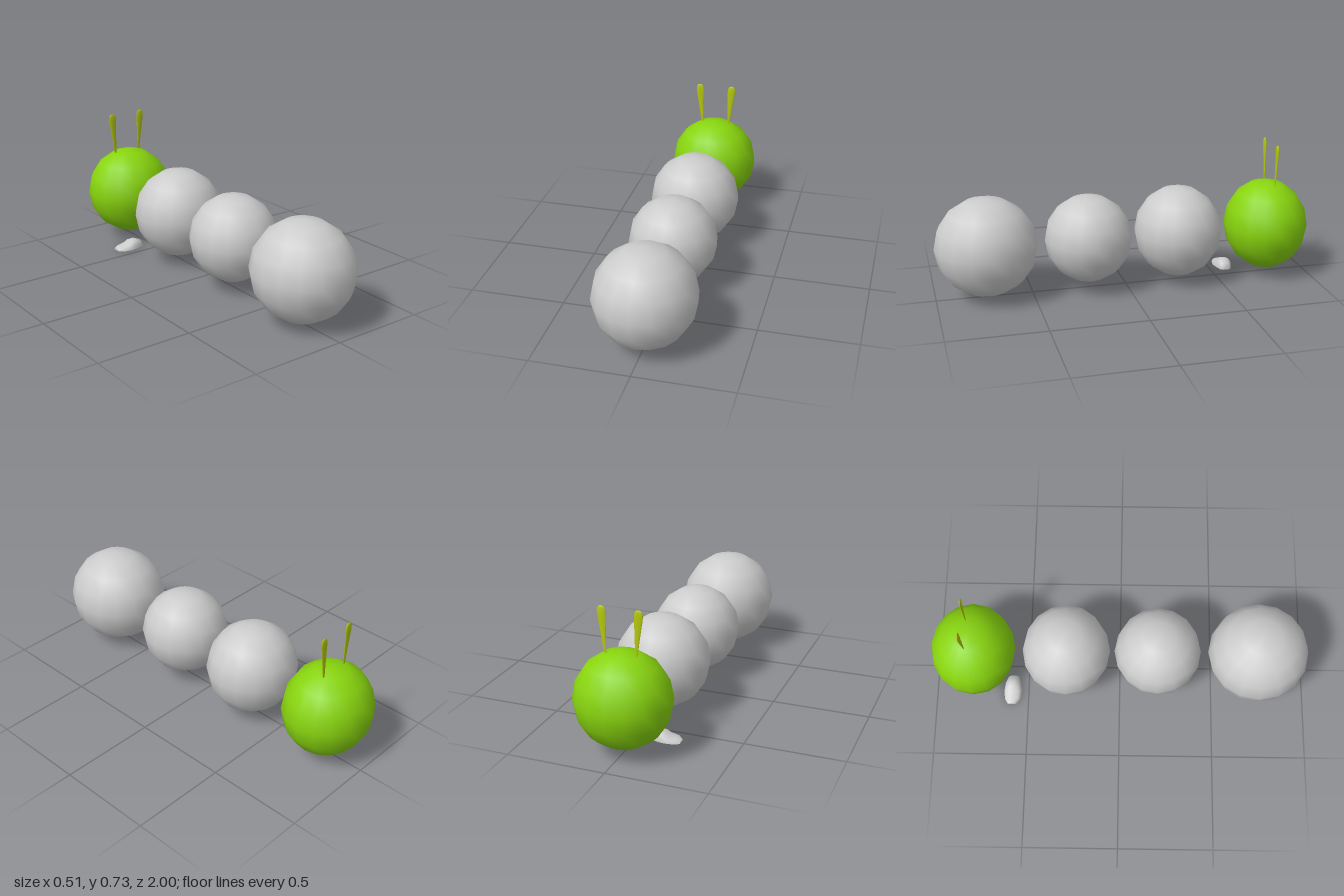
import * as THREE from 'three';
import { toCreasedNormals } from 'three/addons/utils/BufferGeometryUtils.js';

const grey = new THREE.MeshStandardMaterial({ color: 0xcccccc });
const green = new THREE.MeshStandardMaterial({ color: 0x88d40e });
const yellowGreen = new THREE.MeshStandardMaterial({ color: 0xb5c810 });

function ball(name, material, z, rx, ry, rz) {
  const mesh = new THREE.Mesh(new THREE.SphereGeometry(1, 16, 8), material);
  mesh.name = name;
  mesh.scale.set(rx, ry, rz);
  mesh.position.set(0, 0.276, z);
  return mesh;
}

// Flattened club shape, thin at the root and rounded at the tip
function antenna(name, side) {
  const profile = [
    [0, 0], [0.006, 0], [0.011, 0.07], [0.017, 0.14], [0.0215, 0.185],
    [0.0215, 0.205], [0.018, 0.219], [0.01, 0.228], [0, 0.23],
  ].map(([r, y]) => new THREE.Vector2(r, y));
  const mesh = new THREE.Mesh(new THREE.LatheGeometry(profile, 16), yellowGreen);
  mesh.name = name;
  mesh.scale.z = 0.25;
  mesh.position.set(side * 0.077, 0.499, -0.795);
  mesh.rotation.z = -side * 0.07;
  return mesh;
}

// Shoe lofted along x from domed sections: [x, height, half width, centre z]
function foot() {
  const sections = [
    [-0.217, 0.005, 0.001, -0.592], [-0.217, 0.01, 0.022, -0.592],
    [-0.19, 0.022, 0.042, -0.588], [-0.15, 0.029, 0.048, -0.587],
    [-0.128, 0.046, 0.047, -0.587], [-0.1, 0.048, 0.042, -0.587],
    [-0.065, 0.034, 0.03, -0.585], [-0.054, 0.004, 0.015, -0.583],
    [-0.054, 0.001, 0.001, -0.583],
  ];
  const n = 9, positions = [], index = [];
  sections.forEach(([x, h, w, zc], i) => {
    for (let j = 0; j < n; j++) {
      const a = (Math.PI * j) / (n - 1);
      positions.push(x, h * Math.max(0, Math.sin(a)) ** 0.7, zc + w * Math.cos(a));
      if (i === sections.length - 1) continue;
      const k = (j + 1) % n;
      const p = i * n + j, q = i * n + k;
      index.push(p, p + n, q, q, p + n, q + n);
    }
  });
  const geometry = new THREE.BufferGeometry();
  geometry.setAttribute('position', new THREE.Float32BufferAttribute(positions, 3));
  geometry.setIndex(index);
  const mesh = new THREE.Mesh(toCreasedNormals(geometry, 0.9), grey);
  mesh.name = 'foot';
  return mesh;
}

export function createModel() {
  const model = new THREE.Group();
  model.name = 'caterpillar';
  model.add(
    ball('tailSegment', grey, 0.733, 0.257, 0.258, 0.265),
    ball('rearBodySegment', grey, 0.2, 0.229, 0.23, 0.229),
    ball('frontBodySegment', grey, -0.285, 0.24, 0.242, 0.232),
    ball('head', green, -0.778, 0.24, 0.242, 0.222),
    antenna('leftAntenna', 1),
    antenna('rightAntenna', -1),
    foot(),
  );
  return model;
}
